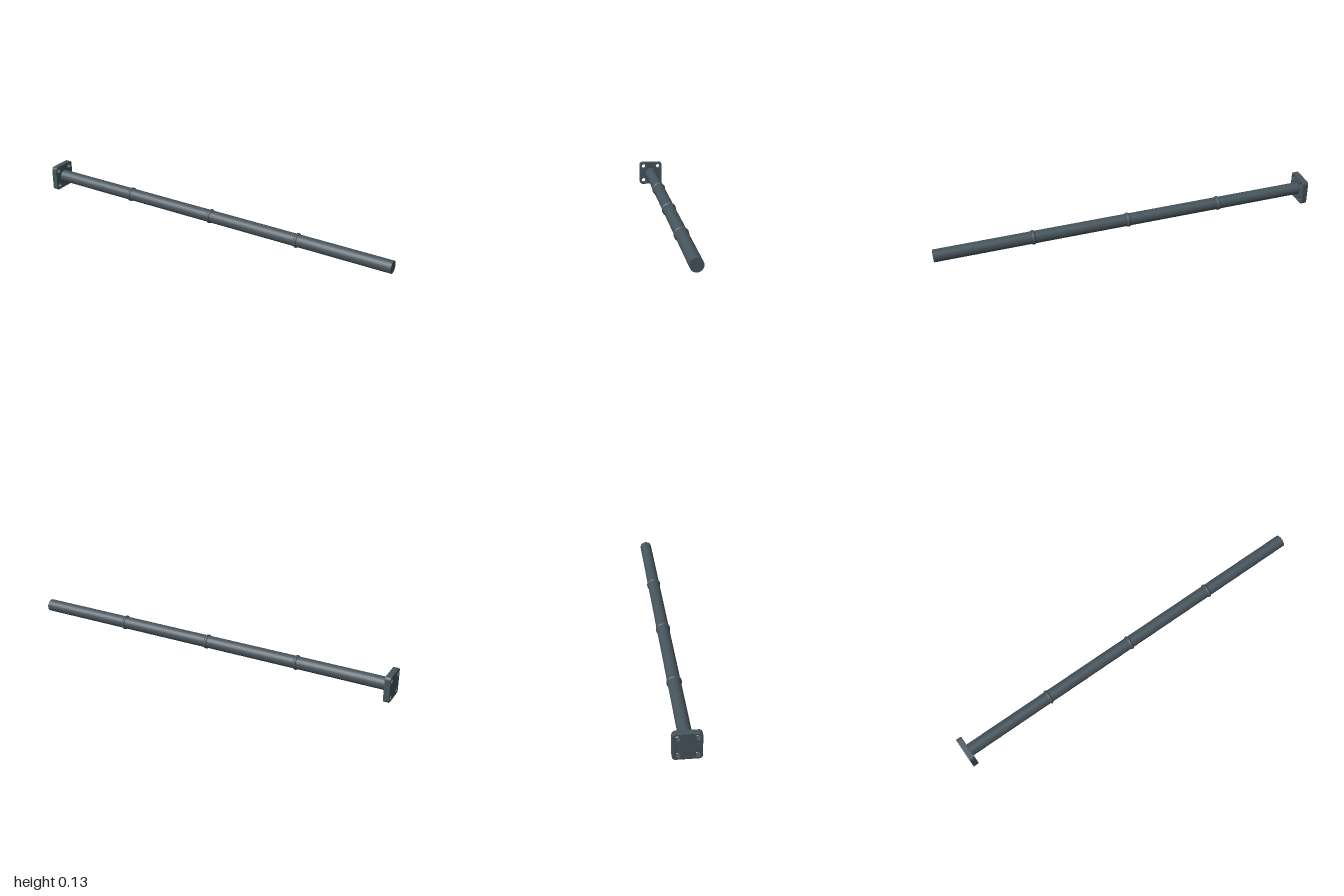
import * as THREE from 'three';

export function createModel() {
  const model = new THREE.Group();
  const steel = new THREE.MeshStandardMaterial({ color: 0x46545c });
  steel.name = 'dark steel';
  const axisY = 0.067;

  const add = (name, geometry, x) => {
    const mesh = new THREE.Mesh(geometry, steel);
    mesh.name = name;
    mesh.position.set(x, axisY, 0);
    model.add(mesh);
  };

  // long pipe along x, closed at the free end
  const pipe = new THREE.CylinderGeometry(0.032, 0.032, 1.98, 24);
  pipe.rotateZ(-Math.PI / 2);
  add('pipe', pipe, 0.01);

  // raised joint collars
  const profile = [[0.031, -0.009], [0.035, -0.007], [0.037, -0.003], [0.037, 0.003], [0.035, 0.007], [0.031, 0.009]]
    .map(([r, h]) => new THREE.Vector2(r, h));
  for (const x of [-0.5, 0, 0.5]) {
    const collar = new THREE.LatheGeometry(profile, 24);
    collar.rotateZ(-Math.PI / 2);
    add('jointCollar', collar, x);
  }

  // square mounting flange with rounded corners and four bolt holes
  const half = 0.067, corner = 0.016, c = half - corner;
  const plate = new THREE.Shape();
  plate.absarc(c, c, corner, 0, Math.PI / 2);
  plate.absarc(-c, c, corner, Math.PI / 2, Math.PI);
  plate.absarc(-c, -c, corner, Math.PI, Math.PI * 1.5);
  plate.absarc(c, -c, corner, Math.PI * 1.5, Math.PI * 2);
  for (const sx of [-1, 1]) {
    for (const sy of [-1, 1]) {
      const hole = new THREE.Path();
      hole.absarc(sx * 0.0435, sy * 0.0435, 0.0125, 0, Math.PI * 2, true);
      plate.holes.push(hole);
    }
  }
  const bevel = 0.002, thickness = 0.03;
  const flange = new THREE.ExtrudeGeometry(plate, {
    depth: thickness - 2 * bevel, curveSegments: 5, bevelEnabled: true,
    bevelThickness: bevel, bevelSize: bevel, bevelOffset: -bevel, bevelSegments: 2,
  });
  flange.translate(0, 0, bevel);
  flange.rotateY(Math.PI / 2);
  add('mountingFlange', flange, -1);

  return model;
}
